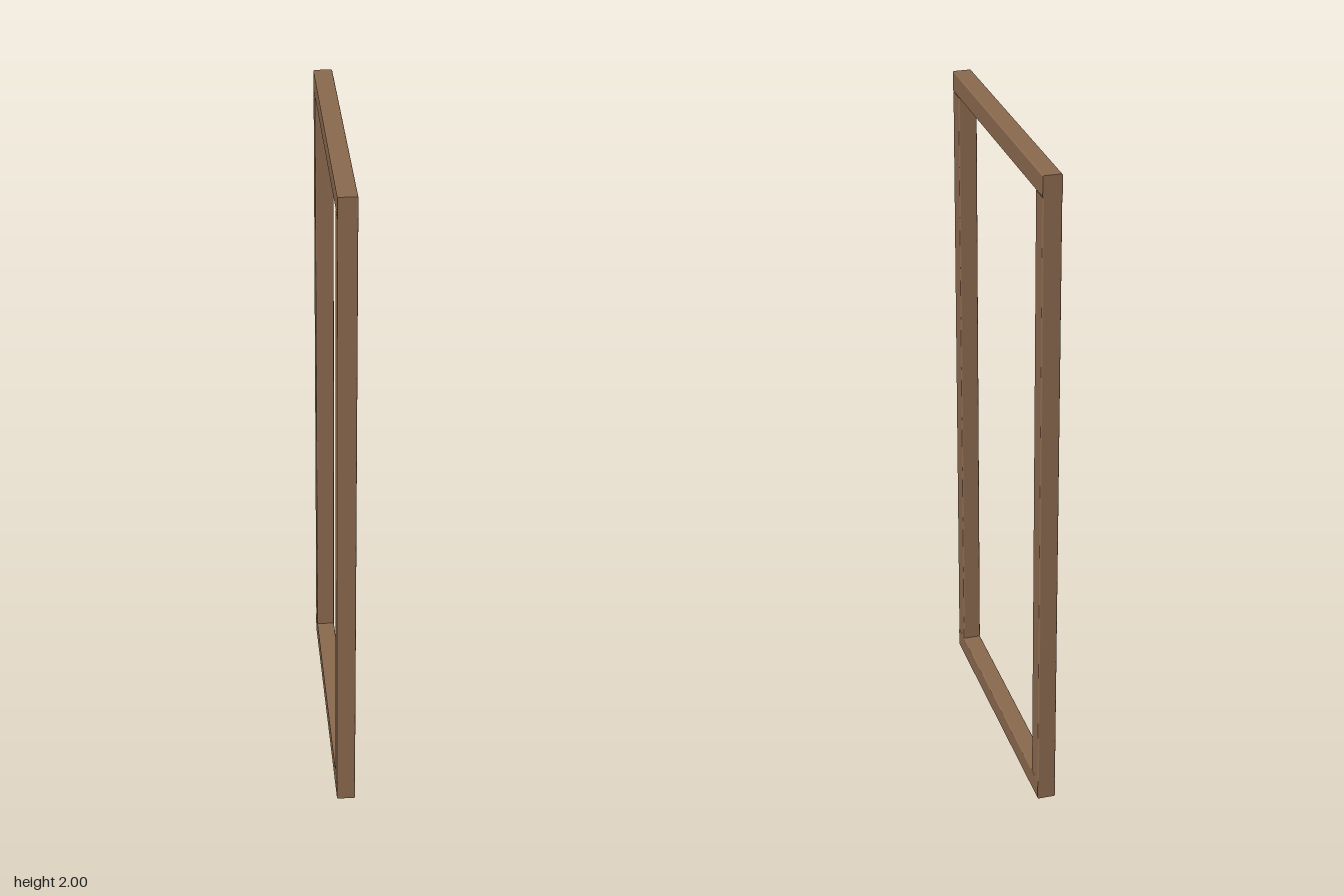
import * as THREE from 'three';

const HEIGHT = 2, DEPTH = 0.89;
const THICK = 0.055; // beam size along x
const FACE = 0.062; // beam size seen on the frame's face
const EASE = 0.004; // rounding of the long edges

// Beam running along z, centred, with eased long edges and flat ends
function beamGeometry(length) {
  const a = THICK / 2, b = FACE / 2, r = EASE;
  const s = new THREE.Shape();
  s.absarc(a - r, b - r, r, 0, Math.PI / 2);
  s.absarc(-a + r, b - r, r, Math.PI / 2, Math.PI);
  s.absarc(-a + r, -b + r, r, Math.PI, Math.PI * 1.5);
  s.absarc(a - r, -b + r, r, Math.PI * 1.5, Math.PI * 2);
  s.closePath();
  return new THREE.ExtrudeGeometry(s, { depth: length, bevelEnabled: false, curveSegments: 3 })
    .translate(0, 0, -length / 2);
}

export function createModel() {
  const group = new THREE.Group();
  group.name = 'doorFrame';
  const wood = new THREE.MeshStandardMaterial({ color: 0x8b6a4f });
  wood.name = 'brown wood';

  // Rails run the full depth; posts stand between them
  const railGeo = beamGeometry(DEPTH);
  const postGeo = beamGeometry(HEIGHT - 2 * FACE).rotateX(-Math.PI / 2);

  const add = (name, geo, y, z) => {
    const mesh = new THREE.Mesh(geo, wood);
    mesh.name = name;
    mesh.position.set(0, y, z);
    group.add(mesh);
  };
  add('bottomRail', railGeo, FACE / 2, 0);
  add('topRail', railGeo, HEIGHT - FACE / 2, 0);
  add('frontPost', postGeo, HEIGHT / 2, (DEPTH - FACE) / 2);
  add('backPost', postGeo, HEIGHT / 2, -(DEPTH - FACE) / 2);
  return group;
}
